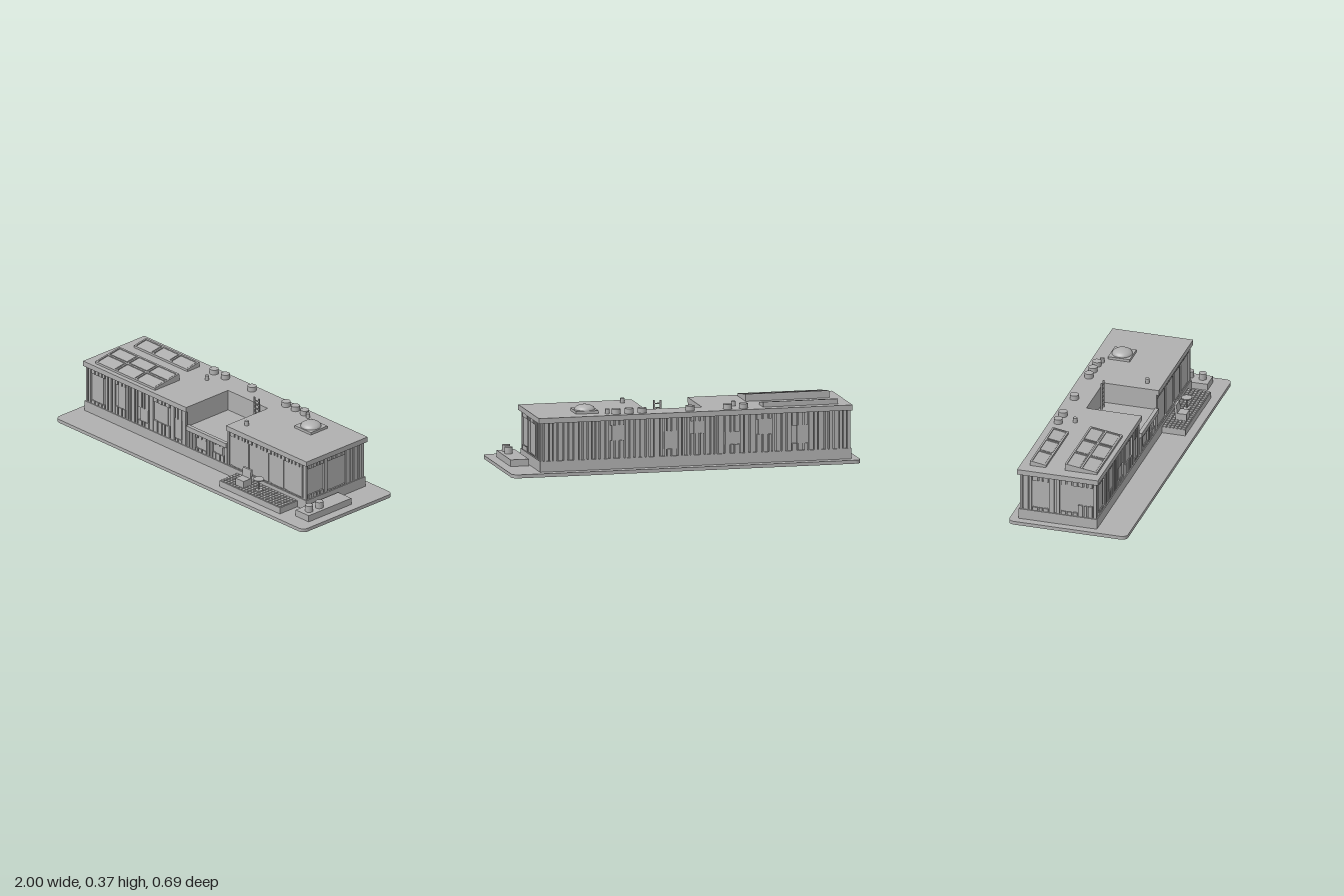
import * as THREE from 'three';

const grey = new THREE.MeshStandardMaterial({ color: 0xb0b0b0 });
grey.name = 'plain grey';

// Box given by its minimum and maximum on each axis
function box(parent, name, x0, x1, y0, y1, z0, z1) {
  const m = new THREE.Mesh(new THREE.BoxGeometry(x1 - x0, y1 - y0, z1 - z0), grey);
  m.position.set((x0 + x1) / 2, (y0 + y1) / 2, (z0 + z1) / 2);
  m.name = name;
  parent.add(m);
  return m;
}

// Upright cylinder standing at height y0
function can(parent, name, x, z, r, y0, y1, sides = 24) {
  const m = new THREE.Mesh(new THREE.CylinderGeometry(r, r, y1 - y0, sides), grey);
  m.position.set(x, (y0 + y1) / 2, z);
  m.name = name;
  parent.add(m);
  return m;
}

// Horizontal slab from a plan outline; the outline's second axis is -z
function slab(parent, name, shape, y0, y1) {
  const g = new THREE.ExtrudeGeometry(shape, { depth: y1 - y0, bevelEnabled: false, curveSegments: 6 });
  g.rotateX(-Math.PI / 2);
  const m = new THREE.Mesh(g, grey);
  m.position.y = y0;
  m.name = name;
  parent.add(m);
}

// U-shaped plan with the terrace notch cut into the front
function notched(x0, x1, z0, z1) {
  const p = [[x0, z1], [-0.13, z1], [-0.13, -0.155], [0.19, -0.155], [0.19, z1], [x1, z1], [x1, z0], [x0, z0]];
  return new THREE.Shape(p.map(([x, z]) => new THREE.Vector2(x, -z)));
}

function seeded(seed) {
  return () => (seed = (seed * 16807) % 2147483647) / 2147483647;
}

// Wall cladding: irregular upright boards, interrupted by openings [x0, x1, y0, y1, plate depth]
function facade(parent, name, x0, x1, top, seed, openings) {
  const g = new THREE.Group();
  g.name = name;
  const rnd = seeded(seed);
  const bottom = 0.08;
  for (let x = x0; x < x1 - 0.006;) {
    const w = Math.min(0.012 + 0.018 * rnd(), x1 - x);
    const hit = openings.find(o => x + w > o[0] && x < o[1]);
    if (!hit) box(g, 'board', x, x + w, bottom, top, 0, 0.01);
    else {
      if (hit[2] > bottom + 0.004) box(g, 'lowerBoard', x, x + w, bottom, hit[2], 0, 0.01);
      if (hit[3] < top - 0.004) box(g, 'upperBoard', x, x + w, hit[3], top, 0, 0.01);
    }
    x += w + 0.005 + 0.006 * rnd();
  }
  for (const [a, b, c, d, depth] of openings) box(g, 'windowPanel', a + 0.004, b - 0.004, c, d, 0, depth);
  parent.add(g);
  return g;
}

// Tilted solar array: wedge, raised frame and cells
function solarArray(parent, x0, x1, zBack, zFront, yBack, yFront, cols, rows) {
  const g = new THREE.Group();
  g.name = 'solarArray';
  const lip = 0.006;
  const profile = new THREE.Shape([[zBack, 0.325], [zFront, 0.325], [zFront, yFront - lip], [zBack, yBack - lip]]
    .map(p => new THREE.Vector2(...p)));
  const wedge = new THREE.ExtrudeGeometry(profile, { depth: x1 - x0, bevelEnabled: false });
  wedge.rotateY(-Math.PI / 2);
  wedge.translate(x1, 0, 0);
  const body = new THREE.Mesh(wedge, grey);
  body.name = 'solarWedge';
  g.add(body);

  const tilt = new THREE.Group();
  tilt.name = 'solarFrame';
  tilt.position.set((x0 + x1) / 2, (yBack + yFront) / 2 - lip, (zBack + zFront) / 2);
  tilt.rotation.x = Math.atan2(yBack - yFront, zFront - zBack);
  const w = (x1 - x0) / 2, d = Math.hypot(zFront - zBack, yBack - yFront) / 2, t = 0.005;
  for (let i = 0; i <= cols; i++) {
    const x = (-w + t) + i * (2 * w - 2 * t) / cols;
    box(tilt, 'frameBar', x - t, x + t, 0, lip, -d, d);
  }
  for (let j = 0; j <= rows; j++) {
    const z = (-d + t) + j * (2 * d - 2 * t) / rows;
    box(tilt, 'frameRail', -w, w, 0, lip, z - t, z + t);
  }
  for (let i = 0; i < cols; i++) for (let j = 0; j < rows; j++) {
    const x = -w + i * 2 * w / cols, z = -d + j * 2 * d / rows;
    box(tilt, 'solarCell', x + 0.015, x + 2 * w / cols - 0.015, 0, 0.003, z + 0.012, z + 2 * d / rows - 0.012);
  }
  g.add(tilt);
  parent.add(g);
}

export function createModel() {
  const model = new THREE.Group();
  model.name = 'building';

  // Ground plate with rounded corners
  const X = 1, Z = 0.345, r = 0.035;
  const plate = new THREE.Shape();
  plate.absarc(X - r, Z - r, r, 0, Math.PI / 2);
  plate.absarc(-X + r, Z - r, r, Math.PI / 2, Math.PI);
  plate.absarc(-X + r, -Z + r, r, Math.PI, Math.PI * 1.5);
  plate.absarc(X - r, -Z + r, r, Math.PI * 1.5, Math.PI * 2);
  slab(model, 'groundPlate', plate, 0, 0.02);

  // Plinth, wall core and roof
  box(model, 'plinth', -0.955, 0.83, 0.02, 0.08, -0.295, 0.16);
  box(model, 'lowerWalls', -0.94, 0.815, 0.08, 0.185, -0.28, 0.145);
  slab(model, 'upperWalls', notched(-0.94, 0.815, -0.28, 0.145), 0.185, 0.295);
  slab(model, 'roof', notched(-0.96, 0.84, -0.303, 0.167), 0.295, 0.325);

  // Cladding on all four sides
  const front = [
    facade(model, 'frontLeftCladding', -0.95, -0.13, 0.295, 11, [
      [-0.9, -0.81, 0.1, 0.265, 0.004], [-0.7, -0.63, 0.13, 0.265, 0.006], [-0.52, -0.45, 0.11, 0.19, 0.006],
      [-0.38, -0.29, 0.15, 0.265, 0.004], [-0.24, -0.18, 0.1, 0.22, 0.006]]),
    facade(model, 'frontMiddleCladding', -0.13, 0.19, 0.185, 23, [
      [-0.06, 0.02, 0.1, 0.16, 0.005], [0.09, 0.15, 0.12, 0.17, 0.005]]),
    facade(model, 'frontRightCladding', 0.19, 0.825, 0.295, 37, [
      [0.22, 0.36, 0.085, 0.265, 0.005], [0.38, 0.52, 0.085, 0.265, 0.005],
      [0.54, 0.64, 0.085, 0.265, 0.005], [0.66, 0.79, 0.085, 0.265, 0.005]])];
  front.forEach(f => { f.position.z = 0.145; });

  const back = facade(model, 'backCladding', -0.825, 0.95, 0.295, 51, [
    [-0.42, -0.35, 0.18, 0.265, 0.006], [-0.12, -0.04, 0.12, 0.22, 0.006], [0.05, 0.11, 0.2, 0.27, 0.006],
    [0.23, 0.29, 0.13, 0.2, 0.006], [0.42, 0.49, 0.18, 0.265, 0.006], [0.64, 0.7, 0.12, 0.22, 0.006]]);
  back.rotation.y = Math.PI;
  back.position.z = -0.28;

  const rightEnd = facade(model, 'leftEndCladding', -0.155, 0.29, 0.295, 67, [
    [-0.132, -0.04, 0.105, 0.265, 0.002], [0.04, 0.125, 0.085, 0.265, 0.002]]);
  rightEnd.rotation.y = Math.PI / 2;
  rightEnd.position.x = 0.815;

  const leftEnd = facade(model, 'rightEndCladding', -0.29, 0.155, 0.295, 83, [
    [-0.2, -0.13, 0.1, 0.265, 0.003], [-0.05, 0.02, 0.1, 0.265, 0.003], [0.07, 0.12, 0.15, 0.265, 0.005]]);
  leftEnd.rotation.y = -Math.PI / 2;
  leftEnd.position.x = -0.94;

  // Roof terrace with front lip and ladder
  box(model, 'terraceFloor', -0.13, 0.19, 0.185, 0.205, -0.155, 0.15);
  box(model, 'terraceLip', -0.13, 0.19, 0.185, 0.213, 0.145, 0.167);
  const ladder = new THREE.Group();
  ladder.name = 'ladder';
  for (const x of [0.1, 0.138]) box(ladder, 'ladderRail', x - 0.004, x + 0.004, 0.205, 0.37, -0.142, -0.134);
  for (let i = 0; i < 6; i++) box(ladder, 'rung', 0.1, 0.138, 0.225 + i * 0.025, 0.23 + i * 0.025, -0.141, -0.135);
  model.add(ladder);

  // Solar arrays, vents and pipes on the roof
  solarArray(model, -0.89, -0.41, -0.047, 0.14, 0.366, 0.339, 3, 2);
  solarArray(model, -0.89, -0.46, -0.25, -0.157, 0.354, 0.339, 3, 1);
  for (const x of [-0.345, -0.255, -0.04, 0.235, 0.31, 0.385]) can(model, 'roofVent', x, -0.253, 0.025, 0.325, 0.353);
  for (const [x, z] of [[-0.31, -0.165], [0.43, -0.236], [0.265, 0.078]]) can(model, 'roofPipe', x, z, 0.012, 0.325, 0.352, 16);

  // Skylight dome
  box(model, 'skylightBase', 0.475, 0.605, 0.325, 0.34, -0.217, -0.09);
  const dome = new THREE.Mesh(new THREE.SphereGeometry(0.058, 32, 12, 0, Math.PI * 2, 0, Math.PI / 2), grey);
  dome.scale.y = 0.52;
  dome.position.set(0.54, 0.339, -0.153);
  dome.name = 'skylightDome';
  model.add(dome);

  // Tiled patio deck
  box(model, 'deck', 0.275, 0.76, 0.02, 0.057, 0.155, 0.295);
  for (let i = 0; i < 20; i++) for (let j = 0; j < 6; j++) {
    const x = 0.277 + i * 0.0241, z = 0.163 + j * 0.022;
    box(model, 'deckTile', x, x + 0.019, 0.057, 0.061, z, z + 0.018);
  }

  // Patio chair and round table
  const chair = new THREE.Group();
  chair.name = 'chair';
  box(chair, 'chairSeat', 0.375, 0.44, 0.06, 0.1, 0.212, 0.27);
  const backrest = box(chair, 'chairBack', 0.375, 0.44, 0.06, 0.15, 0.203, 0.217);
  backrest.rotation.x = -0.1;
  model.add(chair);
  can(model, 'tableTop', 0.52, 0.228, 0.03, 0.126, 0.132);
  can(model, 'tableLeg', 0.52, 0.228, 0.005, 0.06, 0.128, 12);
  can(model, 'tableFoot', 0.52, 0.228, 0.02, 0.06, 0.066);

  // Side step with two pots
  box(model, 'sideStep', 0.84, 0.945, 0.02, 0.058, -0.077, 0.25);
  can(model, 'pot', 0.905, 0.13, 0.022, 0.058, 0.095);
  can(model, 'pot', 0.9, 0.204, 0.022, 0.058, 0.095);

  return model;
}
